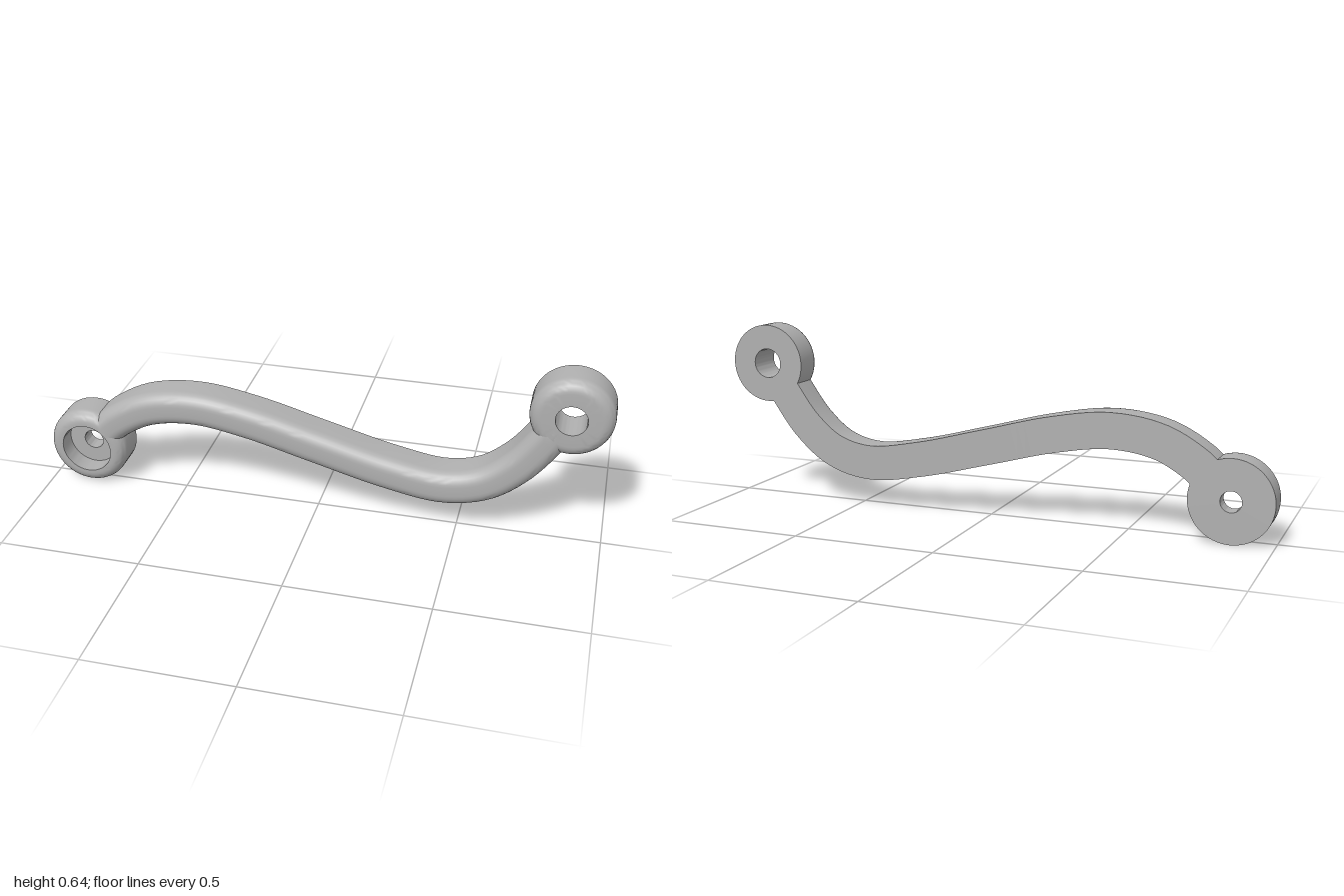
import * as THREE from 'three';
import { toCreasedNormals } from 'three/addons/utils/BufferGeometryUtils.js';

const BACK = -0.064, FRONT = 0.064;
const V2 = (x, y) => new THREE.Vector2(x, y);

// Quarter-round from the outer side towards the front face
function fillet(outer, radius, steps = 7) {
  return Array.from({ length: steps + 1 }, (_, i) => {
    const a = (i / steps) * Math.PI / 2;
    return V2(outer - radius + radius * Math.cos(a), FRONT - radius + radius * Math.sin(a));
  });
}

// Round mounting eye with a through hole and an optional counterbore
function eyeGeometry(radius, hole, bore, depth) {
  const profile = [V2(hole, BACK), V2(radius, BACK), ...fillet(radius, 0.042)];
  if (bore) profile.push(V2(bore, FRONT), V2(bore, FRONT - depth), V2(hole, FRONT - depth));
  else profile.push(V2(hole, FRONT));
  profile.push(V2(hole, BACK));
  return toCreasedNormals(new THREE.LatheGeometry(profile, 64).rotateX(Math.PI / 2), 0.6);
}

// Flat-backed, round-shouldered section swept along the S curve
function armGeometry(curve, halfWidth, radius, steps) {
  const right = fillet(halfWidth, radius);
  const left = right.map(p => V2(-p.x, p.y)).reverse();
  const section = [V2(-halfWidth, BACK), V2(halfWidth, BACK), ...right, ...left];
  const n = section.length, pos = [], index = [];
  for (let i = 0; i <= steps; i++) {
    const p = curve.getPointAt(i / steps), t = curve.getTangentAt(i / steps);
    for (const s of section) pos.push(p.x - t.y * s.x, p.y + t.x * s.x, s.y);
  }
  for (let i = 0; i < steps; i++) {
    for (let j = 0; j < n; j++) {
      const a = i * n + j, b = i * n + (j + 1) % n;
      index.push(a, b, a + n, b, b + n, a + n);
    }
  }
  // End caps
  const last = steps * n;
  for (let j = 1; j < n - 1; j++) {
    index.push(0, j + 1, j, last, last + j, last + j + 1);
  }
  const geometry = new THREE.BufferGeometry();
  geometry.setAttribute('position', new THREE.Float32BufferAttribute(pos, 3));
  geometry.setIndex(index);
  return toCreasedNormals(geometry, 0.6);
}

export function createModel() {
  const group = new THREE.Group();
  group.name = 'curvedLinkArm';
  const grey = new THREE.MeshStandardMaterial({ color: 0xb0b0b0 });
  grey.name = 'grey';

  const add = (name, geometry, x = 0, y = 0) => {
    const mesh = new THREE.Mesh(geometry, grey);
    mesh.name = name;
    mesh.position.set(x, y, 0);
    group.add(mesh);
  };

  add('counterboredEye', eyeGeometry(0.144, 0.036, 0.092, 0.07), -0.856, 0.146);
  add('plainEye', eyeGeometry(0.14, 0.053), 0.858, 0.5);

  const path = new THREE.CatmullRomCurve3([
    [-0.787, 0.216], [-0.74, 0.258], [-0.62, 0.323], [-0.45, 0.348], [-0.25, 0.32], [0, 0.255],
    [0.25, 0.191], [0.45, 0.163], [0.59, 0.197], [0.7, 0.283], [0.78, 0.388], [0.818, 0.446],
  ].map(([x, y]) => new THREE.Vector3(x, y, 0)), false, 'centripetal');
  add('curvedArm', armGeometry(path, 0.062, 0.045, 64));

  return group;
}
